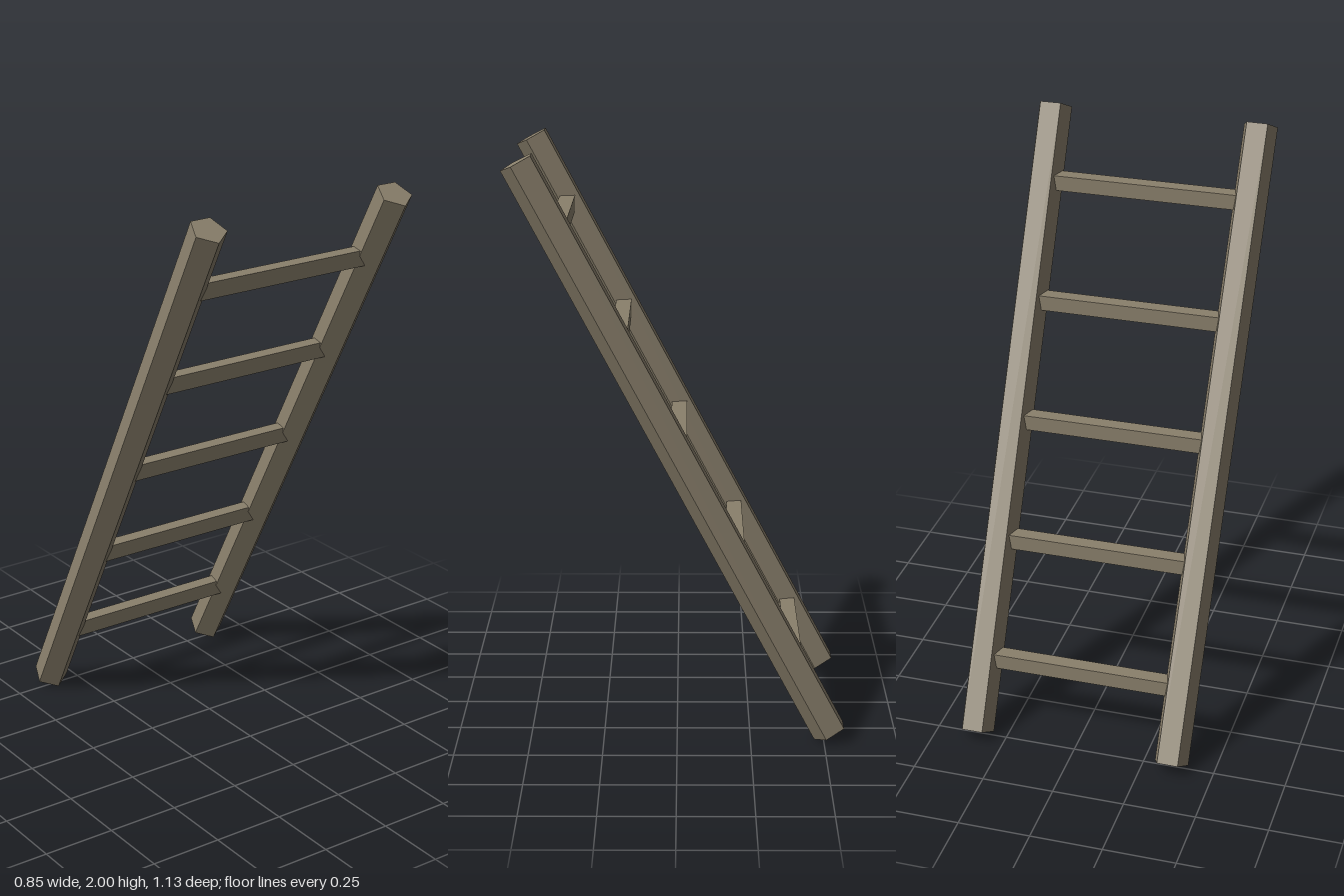
import * as THREE from 'three';

export function createModel() {
  const model = new THREE.Group();
  model.name = 'ladder';
  const wood = new THREE.MeshStandardMaterial({ color: 0x8a806c, flatShading: true });
  wood.name = 'weathered wood';

  const lean = 0.4887; // forward lean, 28 degrees
  const centre = { x: 0.36, y: 1.003, z: -0.005 };

  // Pentagonal rails, one edge facing forward, slightly splayed at the top
  const railGeometry = new THREE.CylinderGeometry(0.062, 0.062, 2.206, 5);
  for (const side of [1, -1]) {
    const rail = new THREE.Mesh(railGeometry, wood);
    rail.name = side > 0 ? 'leftRail' : 'rightRail';
    rail.position.set(side * centre.x, centre.y, centre.z);
    rail.rotation.set(lean, 0, -side * 0.007);
    model.add(rail);
  }

  // Square rungs, level, following the lean of the rails
  const rungGeometry = new THREE.BoxGeometry(0.7, 0.054, 0.054);
  for (let i = 0; i < 5; i++) {
    const rise = (i - 2) * 0.371;
    const rung = new THREE.Mesh(rungGeometry, wood);
    rung.name = `rung${i + 1}`;
    rung.position.set(0, centre.y + rise, centre.z + rise * Math.tan(lean));
    model.add(rung);
  }
  return model;
}
